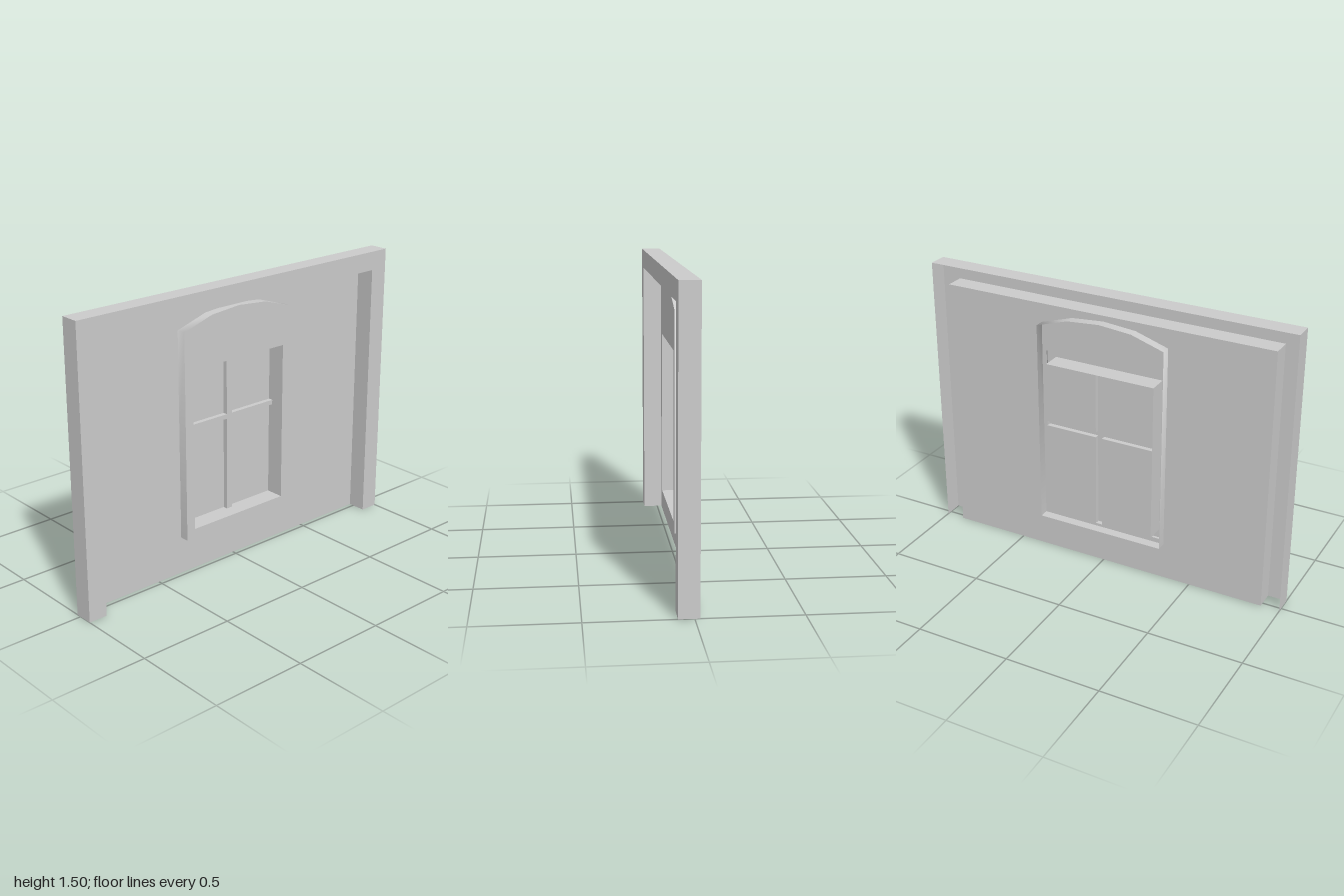
import * as THREE from 'three';
import { mergeGeometries, toCreasedNormals } from 'three/addons/utils/BufferGeometryUtils.js';

const material = new THREE.MeshStandardMaterial({ color: 0xcccccc, side: THREE.DoubleSide });

// Depths of the successive layers, front to back
const Z = { border: 0.075, frame: 0.025, wall: -0.025, bar: -0.05, back: -0.075 };

// Counter-clockwise rectangle
const rect = (x0, y0, x1, y1) => [[x0, y0], [x1, y0], [x1, y1], [x0, y1]];

// Flat face in the xy plane at depth z, with an optional hole
function sheet(outline, z, hole) {
  const toVectors = (pts) => pts.map(([x, y]) => new THREE.Vector2(x, y));
  const shape = new THREE.Shape(toVectors(outline));
  if (hole) shape.holes.push(new THREE.Path(toVectors(hole)));
  return new THREE.ShapeGeometry(shape).translate(0, 0, z).toNonIndexed();
}

// Band following a path from zFront to zBack; faces outward on a counter-clockwise path
function band(path, zFront, zBack, closed = true, crease = 0.1) {
  const pos = [];
  const uv = [];
  const count = closed ? path.length : path.length - 1;
  for (let i = 0; i < count; i++) {
    const [ax, ay] = path[i];
    const [bx, by] = path[(i + 1) % path.length];
    pos.push(ax, ay, zFront, ax, ay, zBack, bx, by, zBack);
    pos.push(ax, ay, zFront, bx, by, zBack, bx, by, zFront);
    uv.push(0, 0, 0, 1, 1, 1, 0, 0, 1, 1, 1, 0);
  }
  const geometry = new THREE.BufferGeometry();
  geometry.setAttribute('position', new THREE.Float32BufferAttribute(pos, 3));
  geometry.setAttribute('uv', new THREE.Float32BufferAttribute(uv, 2));
  geometry.computeVertexNormals();
  return toCreasedNormals(geometry, crease);
}

export function createModel() {
  const model = new THREE.Group();
  const add = (name, ...parts) => {
    const mesh = new THREE.Mesh(mergeGeometries(parts), material);
    mesh.name = name;
    model.add(mesh);
  };

  // Border around the sides and top, hollow at the back and open at the feet
  const outer = [[1, 0], [1, 1.5], [-1, 1.5], [-1, 0]];
  const inner = [[-0.9, 0], [-0.9, 1.4], [0.9, 1.4], [0.9, 0]];
  add('border',
    sheet([...outer, ...inner], Z.border),
    band(outer, Z.border, Z.wall, false),
    band(inner, Z.border, Z.wall, false));

  // Thin recessed wall with a rough opening behind the window frame
  add('wall', sheet(rect(-0.9, 0, 0.9, 1.4), Z.wall, rect(-0.325, 0.225, 0.325, 1.15)));

  // Arched frame: its rim passes through the wall, its opening runs to the panes
  const arch = [[-0.35, 0.2], [0.35, 0.2], [0.35, 1.3], [0.175, 1.355], [0, 1.37], [-0.175, 1.355], [-0.35, 1.3]];
  const opening = rect(-0.3, 0.25, 0.3, 1.1);
  add('windowFrame',
    sheet(arch, Z.frame, opening),
    band(arch, Z.frame, Z.back, true, 1.4),
    band([...opening].reverse(), Z.frame, Z.back));

  // Crossing glazing bars, hollow behind, and the four panes between them
  const half = 0.0175, barLow = 0.755, barHigh = 0.78;
  const bars = [
    sheet(rect(-half, 0.25, half, 1.1), Z.bar),
    sheet(rect(-0.3, barLow, -half, barHigh), Z.bar),
    sheet(rect(half, barLow, 0.3, barHigh), Z.bar),
  ];
  const panes = [];
  for (const side of [-1, 1]) {
    for (const [edge, bar] of [[0.25, barLow], [1.1, barHigh]]) {
      const corner = [[side * half, edge], [side * half, bar], [side * 0.3, bar]];
      // Keep the bar sides facing the pane
      if ((side > 0) !== (edge < bar)) corner.reverse();
      bars.push(band(corner, Z.bar, Z.back, false));
      const xs = [side * half, side * 0.3].sort((a, b) => a - b);
      panes.push(sheet(rect(xs[0], Math.min(edge, bar), xs[1], Math.max(edge, bar)), Z.back));
    }
  }
  add('glazingBars', ...bars);
  add('windowPanes', ...panes);

  return model;
}
